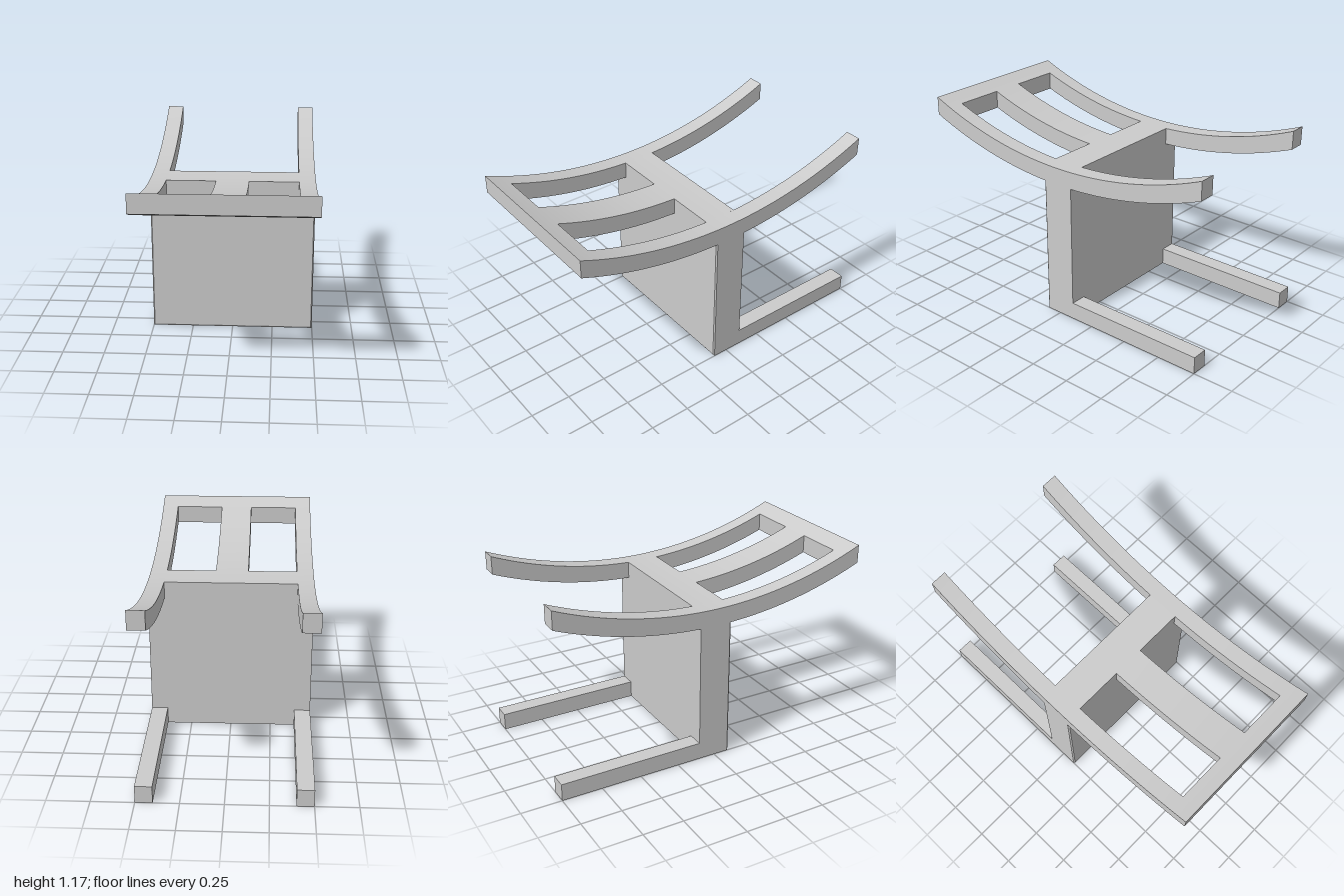
import * as THREE from 'three';
import { toCreasedNormals } from 'three/addons/utils/BufferGeometryUtils.js';

const TOP_R = 2.53, BOTTOM_R = 2.634, CENTRE_Y = 3.492; // concentric arcs of the deck

export function createModel() {
  const group = new THREE.Group();
  const material = new THREE.MeshStandardMaterial({ color: 0xcccccc });

  const add = (name, geometry, x = 0, y = 0, z = 0) => {
    const mesh = new THREE.Mesh(geometry, material);
    mesh.name = name;
    mesh.position.set(x, y, z);
    group.add(mesh);
  };

  // Curved slab between x0..x1 and z0..z1, with ends cut vertically
  const arcY = (r, z) => CENTRE_Y - Math.sqrt(r * r - z * z);
  const curvedSlab = (name, x0, x1, z0, z1) => {
    const steps = Math.max(4, Math.ceil((z1 - z0) * 24));
    const lower = [], upper = [];
    for (let i = 0; i <= steps; i++) {
      const z = z0 + ((z1 - z0) * i) / steps;
      lower.push(new THREE.Vector2(z, arcY(BOTTOM_R, z)));
      upper.unshift(new THREE.Vector2(z, arcY(TOP_R, z)));
    }
    const geometry = new THREE.ExtrudeGeometry(new THREE.Shape([...lower, ...upper]), {
      depth: x1 - x0, bevelEnabled: false,
    });
    geometry.rotateY(-Math.PI / 2).translate(x1, 0, 0);
    add(name, toCreasedNormals(geometry, 0.5));
  };

  // Curved deck: two long rails joined by bars and a centre spine
  curvedSlab('leftRail', 0.4, 0.5, -1, 1);
  curvedSlab('rightRail', -0.5, -0.4, -1, 1);
  curvedSlab('middleCrossbar', -0.4, 0.4, -0.103, 0.1);
  curvedSlab('frontCrossbar', -0.4, 0.4, 0.89, 1);
  curvedSlab('centreSpine', -0.1, 0.1, 0.1, 0.89);

  // Upright panel, its front face slightly chamfered at the sides and bottom
  const panel = new THREE.BoxGeometry(1, 0.862, 0.203, 1, 1, 2);
  panel.translate(0, 0.431, -0.0015);
  const p = panel.attributes.position;
  for (let i = 0; i < p.count; i++) {
    if (p.getZ(i) > 0.05) {
      p.setX(i, p.getX(i) * 0.986);
      if (p.getY(i) < 0.1) p.setY(i, 0.012);
    } else if (p.getZ(i) > -0.05) p.setZ(i, 0.092);
  }
  const flatPanel = panel.toNonIndexed();
  flatPanel.computeVertexNormals();
  add('uprightPanel', flatPanel);

  // Two floor legs running backwards
  for (const [name, x] of [['leftFoot', 0.45], ['rightFoot', -0.45]]) {
    add(name, new THREE.BoxGeometry(0.1, 0.106, 0.897), x, 0.053, -0.5515);
  }

  return group;
}
